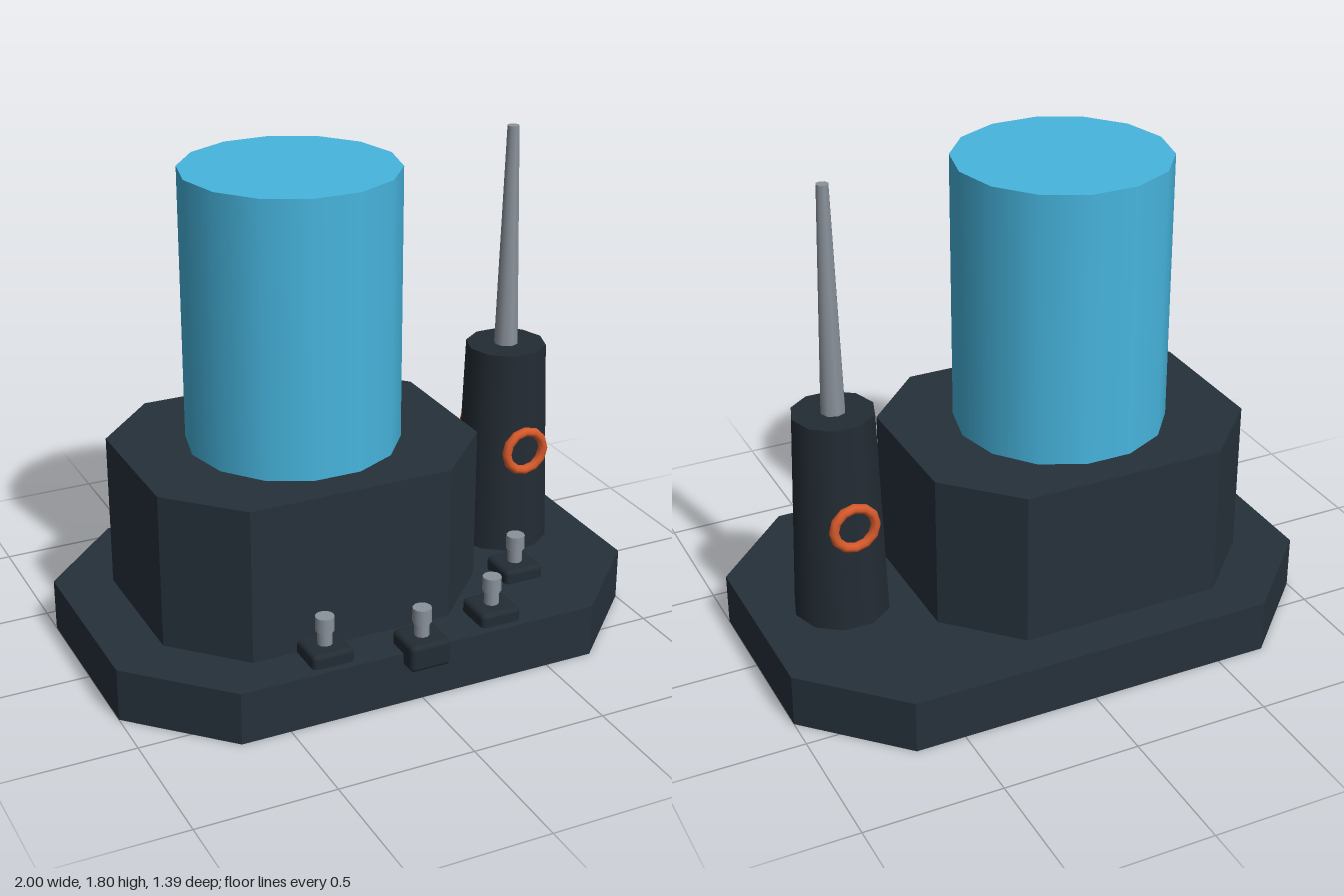
import * as THREE from 'three';
import { RoundedBoxGeometry } from 'three/addons/geometries/RoundedBoxGeometry.js';

const CZ = -0.035; // shared depth centre of the main parts

function material(name, color) {
  const m = new THREE.MeshStandardMaterial({ color });
  m.name = name;
  return m;
}

function addMesh(parent, name, geometry, mat, x, y, z) {
  const mesh = new THREE.Mesh(geometry, mat);
  mesh.name = name;
  mesh.position.set(x, y, z);
  parent.add(mesh);
  return mesh;
}

// Upright octagonal prism: half sizes hx, hz; half flat lengths fx, fz
function octagonPrism(hx, hz, fx, fz, height) {
  const points = [
    [hx, -fz], [hx, fz], [fx, hz], [-fx, hz],
    [-hx, fz], [-hx, -fz], [-fx, -hz], [fx, -hz],
  ].map(([x, y]) => new THREE.Vector2(x, y));
  const geometry = new THREE.ExtrudeGeometry(new THREE.Shape(points), { depth: height, bevelEnabled: false });
  return geometry.rotateX(-Math.PI / 2);
}

// Upright cylinder standing on y = 0 with a corner on the x axis
function column(rTop, rBottom, height, sides) {
  return new THREE.CylinderGeometry(rTop, rBottom, height, sides)
    .rotateY(Math.PI / 2)
    .translate(0, height / 2, 0);
}

export function createModel() {
  const model = new THREE.Group();
  model.name = 'deviceModel';
  const body = material('darkSlate', 0x26313b);
  const dark = material('deepSlate', 0x232c34);
  const blue = material('skyBlue', 0x47b5de);
  const grey = material('metalGrey', 0x8a929b);
  const orange = material('orange', 0xd65a2b);

  // Base plate, raised block and the large blue cylinder
  addMesh(model, 'basePlate', octagonPrism(1, 0.665, 0.68, 0.345, 0.195), body, 0, 0, CZ);
  addMesh(model, 'raisedBlock', octagonPrism(0.61, 0.5, 0.375, 0.26, 0.57), body, -0.19, 0.195, CZ);
  addMesh(model, 'blueCylinder', column(0.385, 0.385, 0.995, 14), blue, -0.187, 0.765, CZ);

  // Antenna tower with a ring on its front and back
  const tower = new THREE.Group();
  tower.name = 'antennaTower';
  tower.position.set(0.68, 0, CZ);
  model.add(tower);
  addMesh(tower, 'towerBody', column(0.148, 0.175, 0.78, 10), dark, 0, 0.195, 0);
  addMesh(tower, 'antennaRod', column(0.022, 0.045, 0.83, 8), grey, 0, 0.97, 0);
  for (const side of [1, -1]) {
    const ring = new THREE.TorusGeometry(0.077, 0.018, 8, 12);
    addMesh(tower, side > 0 ? 'frontRing' : 'backRing', ring, orange, 0, 0.6, side * 0.165);
  }

  // Switches: bevelled housing with a small headed button
  const spots = [[-0.325, 0.195, 0.525], [0, 0.195, 0.615], [0.325, 0.195, 0.525], [0.56, 0.195, 0.285]];
  spots.forEach(([x, y, z], i) => {
    const unit = new THREE.Group();
    unit.name = `switch${i + 1}`;
    unit.position.set(x, y, z);
    model.add(unit);
    addMesh(unit, 'switchHousing', new RoundedBoxGeometry(0.154, 0.1, 0.154, 2, 0.018), dark, 0, 0, 0);
    addMesh(unit, 'switchNeck', column(0.027, 0.027, 0.07, 10), grey, 0, 0.045, 0);
    addMesh(unit, 'switchHead', column(0.034, 0.034, 0.055, 10), grey, 0, 0.1, 0);
  });

  return model;
}
